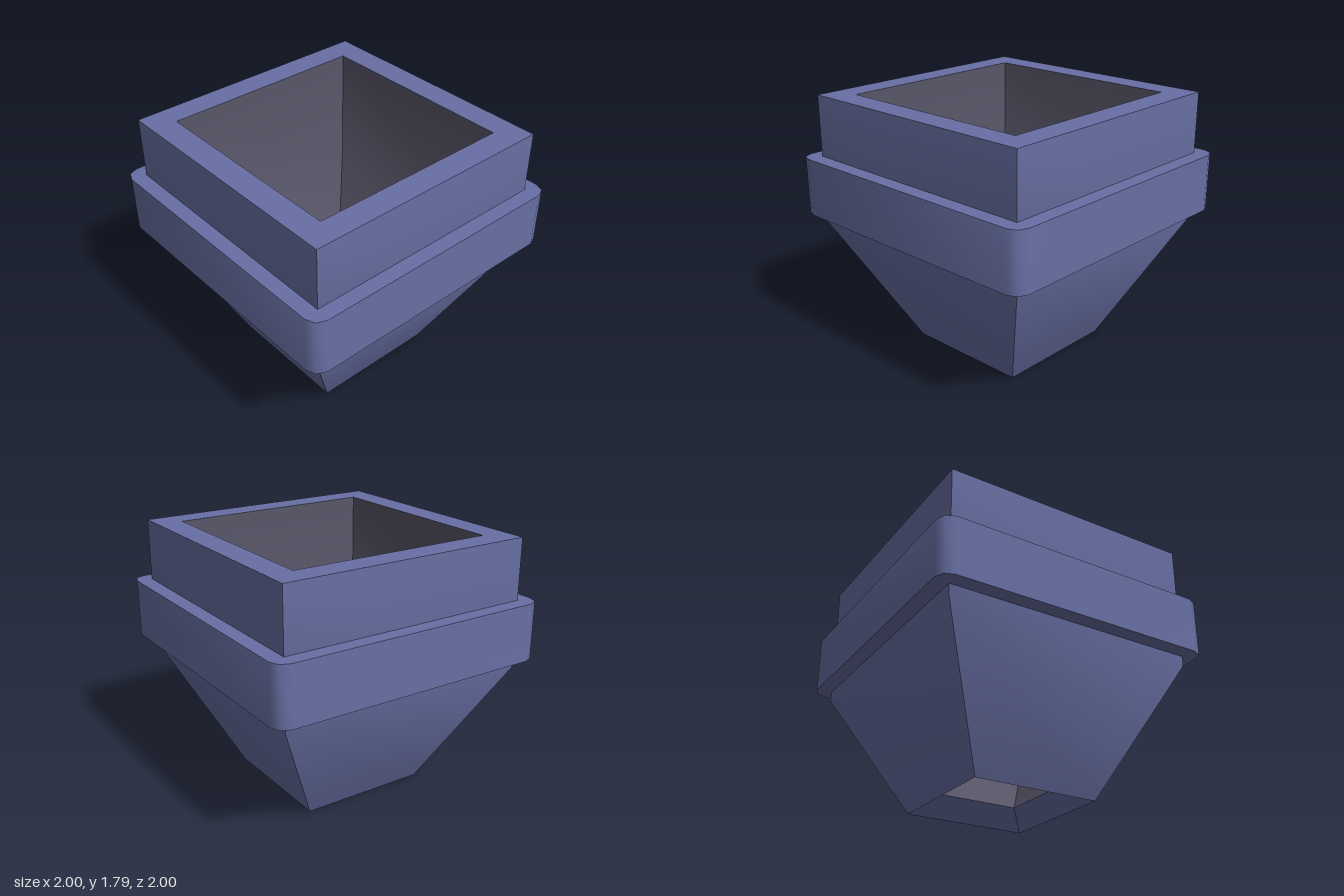
import * as THREE from 'three';
import { toCreasedNormals } from 'three/addons/utils/BufferGeometryUtils.js';

const CREASE = 0.9;

// Square tube: a four-sided lathe whose profile is given as [half width, height]
function squareLathe(profile) {
  const points = profile.map(([half, y]) => new THREE.Vector2(half * Math.SQRT2, y));
  return toCreasedNormals(new THREE.LatheGeometry(points, 4, Math.PI / 4), CREASE);
}

// Square band with rounded corners and a square hole
function collarGeometry(half, radius, hole, height) {
  const shape = new THREE.Shape();
  const c = half - radius;
  const corners = [[c, c], [-c, c], [-c, -c], [c, -c]];
  corners.forEach(([x, y], i) => {
    shape.absarc(x, y, radius, i * Math.PI / 2, (i + 1) * Math.PI / 2, false);
  });
  shape.closePath();
  shape.holes.push(new THREE.Path([
    new THREE.Vector2(-hole, -hole), new THREE.Vector2(-hole, hole),
    new THREE.Vector2(hole, hole), new THREE.Vector2(hole, -hole),
  ]));
  const geometry = new THREE.ExtrudeGeometry(shape, {
    depth: height, bevelEnabled: false, curveSegments: 1,
  });
  geometry.rotateX(-Math.PI / 2);
  return toCreasedNormals(geometry, CREASE);
}

export function createModel() {
  const group = new THREE.Group();
  group.name = 'squareHopper';

  const blue = new THREE.MeshStandardMaterial({ color: 0x6870a4 });
  blue.name = 'slateBlue';
  const grey = new THREE.MeshStandardMaterial({ color: 0x585668 });
  grey.name = 'darkGrey';

  const add = (name, geometry, material, y = 0) => {
    const mesh = new THREE.Mesh(geometry, material);
    mesh.name = name;
    mesh.position.y = y;
    group.add(mesh);
  };

  // Outer shell: bevelled bottom lip, funnel, straight wall and flat rim
  add('outerShell', squareLathe([
    [0.317, 0.134], [0.447, 0], [0.895, 0.895], [0.895, 1.79], [0.717, 1.79],
  ]), blue);

  // Inner lining, open at both ends
  add('innerLining', squareLathe([
    [0.717, 1.79], [0.717, 0.94], [0.317, 0.134],
  ]), grey);

  // Collar around the wall
  add('collar', collarGeometry(1, 0.09, 0.87, 0.4), blue, 0.967);

  return group;
}
